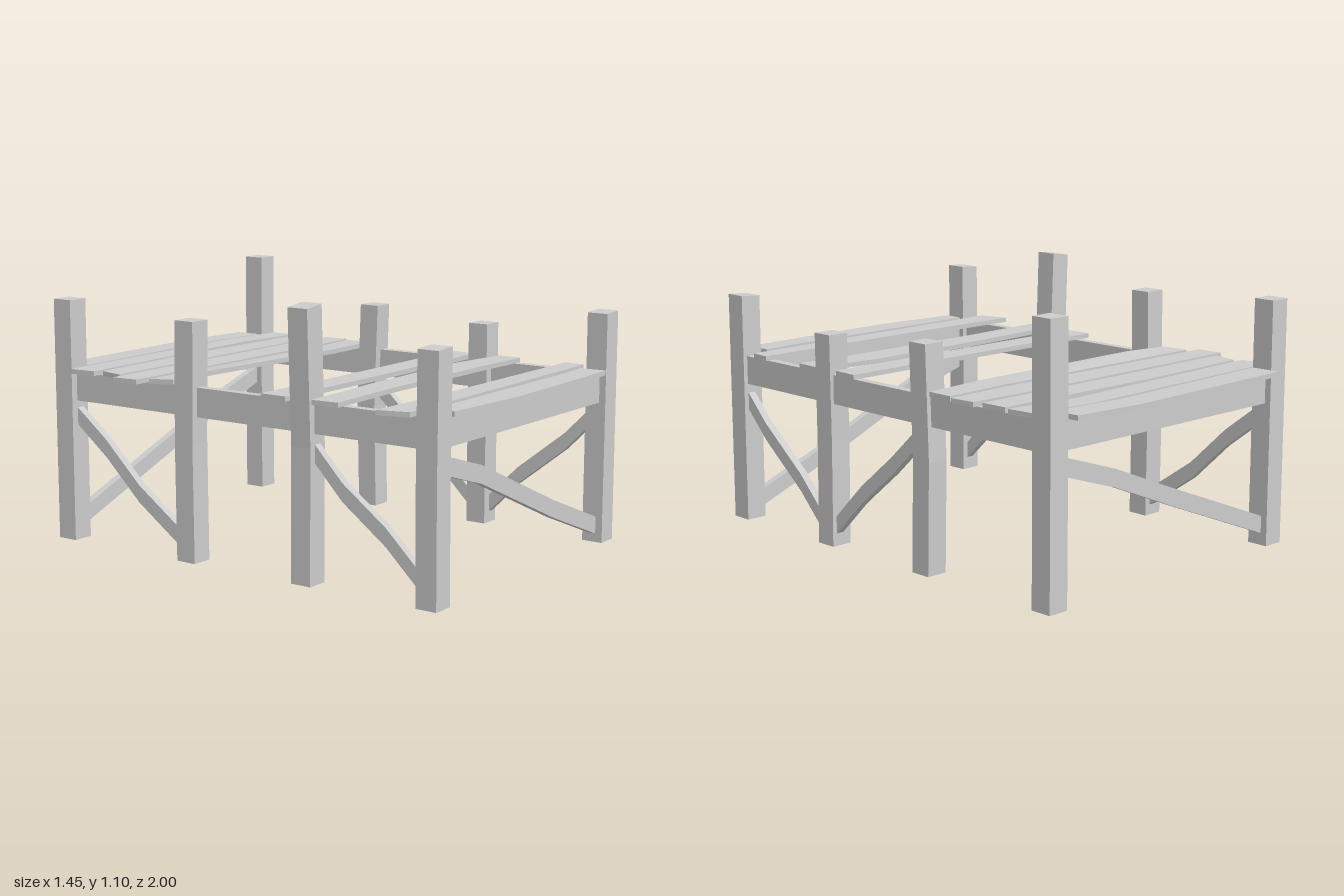
import * as THREE from 'three';

const material = new THREE.MeshStandardMaterial({ color: 0xcccccc, flatShading: true });

// Solid timber lofted through four-cornered rings, with both ends capped
function loft(name, rings) {
  const tris = [];
  const quad = (a, b, c, d) => tris.push([a, b, c], [a, c, d]);
  for (let i = 0; i < rings.length - 1; i++) {
    for (let j = 0; j < 4; j++) {
      const k = (j + 1) % 4;
      quad(rings[i][j], rings[i][k], rings[i + 1][k], rings[i + 1][j]);
    }
  }
  quad(...[...rings[0]].reverse());
  quad(...rings[rings.length - 1]);

  // Turn the faces outward whichever way the rings run
  const v = (p) => new THREE.Vector3(...p);
  const volume = tris.reduce((s, [a, b, c]) => s + v(a).dot(v(b).cross(v(c))), 0);
  if (volume < 0) tris.forEach((t) => t.reverse());

  const geometry = new THREE.BufferGeometry();
  geometry.setAttribute('position', new THREE.Float32BufferAttribute(tris.flat(2), 3));
  geometry.computeVertexNormals();
  const mesh = new THREE.Mesh(geometry, material);
  mesh.name = name;
  return mesh;
}

// Upright post: mid and top are small [x, z] offsets, tilt slopes the top
function post(name, x, z, height, mid, top, tilt) {
  const r = 0.046;
  const ring = (y, [dx, dz], slope) =>
    [[-r, -r], [r, -r], [r, r], [-r, r]].map(([px, pz]) =>
      [x + dx + px, y + (slope * px) / r, z + dz + pz]);
  return loft(name, [ring(0, [0, 0], 0), ring(height * 0.5, mid, 0), ring(height, top, tilt)]);
}

// Brace or rail: path of [along, y], running along x or z at a fixed offset
function bar(name, axis, offset, path, height, thick) {
  const rings = path.map(([t, y]) =>
    [[-1, -1], [1, -1], [1, 1], [-1, 1]].map(([s, u]) => {
      const side = offset + (s * thick) / 2;
      const py = y + (u * height) / 2;
      return axis === 'x' ? [t, py, side] : [side, py, t];
    }));
  return loft(name, rings);
}

// Deck plank: stations of [back x, back z, front x, front z, lift of front edge]
function plank(name, stations) {
  const y0 = 0.716, y1 = 0.736;
  return loft(name, stations.map(([xb, zb, xf, zf, lift = 0]) =>
    [[xb, y0, zb], [xf, y0 + lift, zf], [xf, y1 + lift, zf], [xb, y1, zb]]));
}

export function createModel() {
  const model = new THREE.Group();
  model.name = 'woodenDock';
  const L = 0.662, R = -0.61;

  // Eight uneven posts
  [
    ['leftFrontPost', L, 0.922, 0.972, [0, 0], [0, 0], 0.003],
    ['rightFrontPost', R, 0.922, 0.972, [-0.004, 0], [0, 0], 0.003],
    ['leftMidFrontPost', L, 0.345, 0.88, [-0.006, 0.003], [0, 0], 0],
    ['rightMidFrontPost', R, 0.345, 1.084, [0.004, 0], [-0.016, 0], 0.006],
    ['leftMidBackPost', L, -0.235, 0.918, [0, -0.01], [0, 0.006], 0],
    ['rightMidBackPost', R, -0.235, 0.982, [0, -0.004], [0, 0.004], 0],
    ['leftBackPost', L, -0.893, 1.095, [0, 0], [0, 0.003], 0],
    ['rightBackPost', R, -0.893, 1.02, [0, 0], [0, 0], 0],
  ].forEach((p) => model.add(post(...p)));

  // Rails under the deck
  [['leftRail', 'z', 0.67, -0.9, 0.92], ['rightRail', 'z', -0.607, -0.9, 0.92],
    ['frontRail', 'x', 0.92, -0.61, 0.66], ['backRail', 'x', -0.893, -0.61, 0.66],
  ].forEach(([name, axis, offset, a, b]) =>
    model.add(bar(name, axis, offset, [[a, 0.656], [b, 0.656]], 0.12, 0.038)));

  // Crooked diagonal braces
  [
    ['frontBrace', 'x', 0.92, [[-0.6, 0.543], [-0.3, 0.452], [0.26, 0.21], [0.65, 0.06]]],
    ['backBrace', 'x', -0.893, [[-0.6, 0.073], [0, 0.31], [0.325, 0.443], [0.65, 0.55]]],
    ['leftFrontBrace', 'z', 0.67, [[0.91, 0.555], [0.76, 0.405], [0.53, 0.225], [0.36, 0.055]]],
    ['rightFrontBrace', 'z', -0.607, [[0.91, 0.06], [0.72, 0.24], [0.52, 0.385], [0.36, 0.55]]],
    ['leftMidBrace', 'z', 0.67, [[0.33, 0.06], [0.14, 0.245], [-0.05, 0.4], [-0.22, 0.555]]],
    ['rightBackBrace', 'z', -0.607, [[-0.25, 0.06], [-0.51, 0.24], [-0.69, 0.41], [-0.88, 0.555]]],
  ].forEach(([name, axis, offset, path]) =>
    model.add(bar(name, axis, offset, path, 0.073, 0.034)));

  // Deck planks from back to front
  [
    [[-0.565, -0.975, -0.56, -0.85], [0.29, -1, 0.29, -0.885], [0.6, -0.97, 0.605, -0.855]],
    [[-0.67, -0.835, -0.66, -0.715], [0.4, -0.865, 0.4, -0.755], [0.69, -0.83, 0.7, -0.715]],
    [[-0.635, -0.69, -0.66, -0.575], [-0.115, -0.71, -0.115, -0.58], [0.69, -0.69, 0.695, -0.575]],
    [[-0.725, -0.55, -0.715, -0.435], [0.4, -0.555, 0.4, -0.42], [0.71, -0.54, 0.72, -0.43]],
    [[-0.67, -0.405, -0.645, -0.3, 0.004], [-0.42, -0.402, -0.42, -0.292, 0.012],
      [0.4, -0.39, 0.4, -0.272, 0.003], [0.7, -0.405, 0.7, -0.29]],
    [[-0.67, 0.165, -0.67, 0.285], [-0.18, 0.172, -0.18, 0.29], [0.695, 0.165, 0.69, 0.282]],
    [[-0.67, 0.41, -0.66, 0.525], [-0.26, 0.38, -0.26, 0.505], [0.4, 0.36, 0.4, 0.5], [0.7, 0.4, 0.695, 0.51]],
    [[-0.7, 0.725, -0.665, 0.852], [-0.26, 0.735, -0.26, 0.846], [0.7, 0.73, 0.695, 0.82]],
    [[-0.55, 0.88, -0.555, 0.972], [-0.165, 0.877, -0.165, 1], [0.4, 0.872, 0.4, 0.982], [0.6, 0.855, 0.605, 0.972]],
  ].forEach((stations, i) => model.add(plank(`deckPlank${i + 1}`, stations)));

  return model;
}
